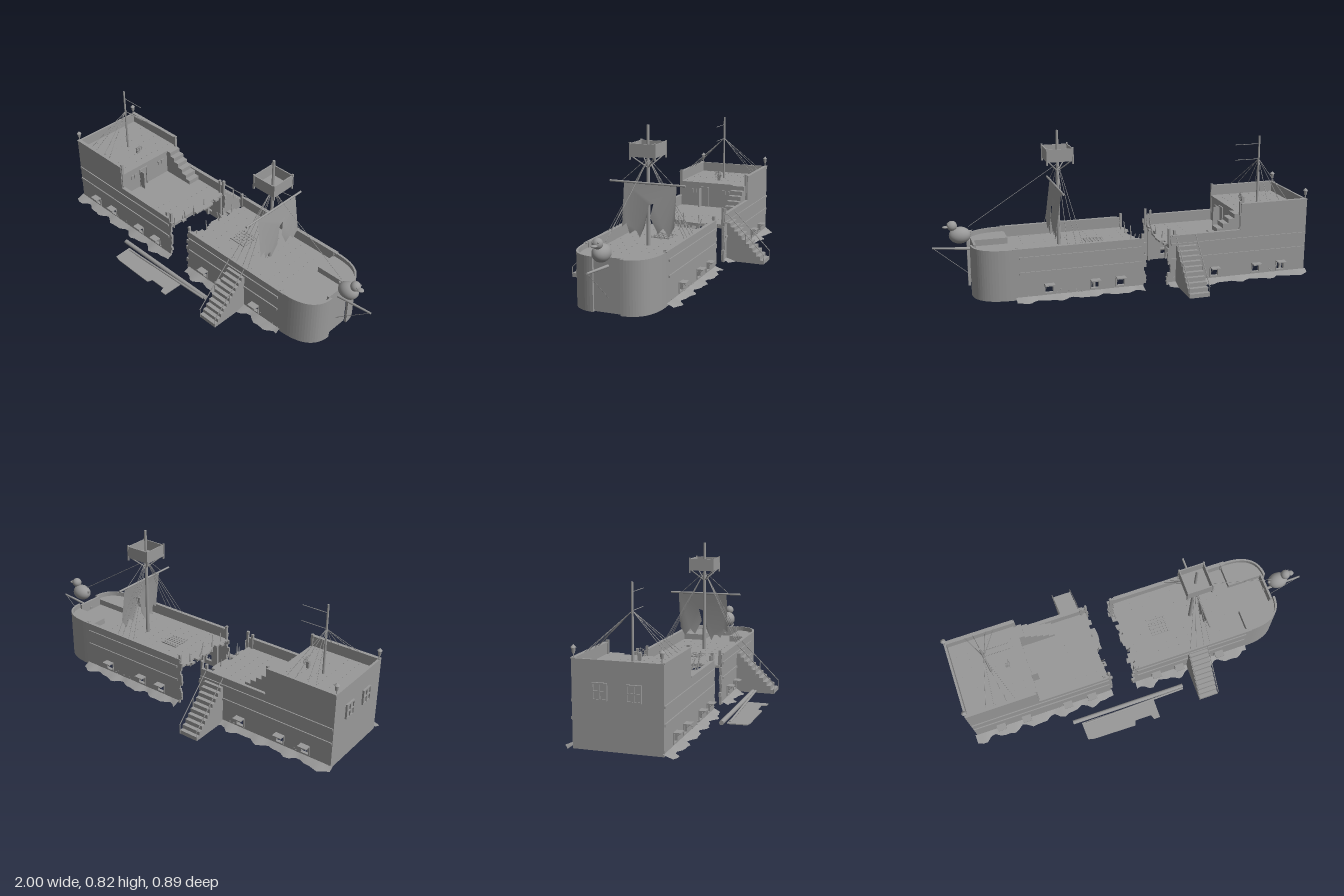
import * as THREE from 'three';

export function createModel() {
  const model = new THREE.Group();
  const ship = new THREE.Group();
  ship.name = 'wreckedShip';
  ship.position.z = -0.01;
  model.add(ship);
  const grey = new THREE.MeshStandardMaterial({ color: 0x999999, side: THREE.DoubleSide });
  grey.name = 'weatheredGrey';

  let seed = 7;
  const rnd = () => (seed = (seed * 16807) % 2147483647) / 2147483647;
  const V = (x, y, z) => new THREE.Vector3(x, y, z);
  const add = (name, geo, x = 0, y = 0, z = 0, parent = ship) => {
    const m = new THREE.Mesh(geo, grey);
    m.name = name;
    m.position.set(x, y, z);
    parent.add(m);
    return m;
  };
  // box given by its min and max on each axis
  const box = (name, x0, x1, y0, y1, z0, z1, parent = ship) =>
    add(name, new THREE.BoxGeometry(x1 - x0, y1 - y0, z1 - z0), (x0 + x1) / 2, (y0 + y1) / 2, (z0 + z1) / 2, parent);
  const rod = (name, a, b, r = 0.0015, r2 = r, parent = ship) => {
    const m = add(name, new THREE.CylinderGeometry(r2, r, a.distanceTo(b), r > 0.004 ? 12 : 5), 0, 0, 0, parent);
    m.position.copy(a).lerp(b, 0.5);
    m.quaternion.setFromUnitVectors(V(0, 1, 0), b.clone().sub(a).normalize());
    return m;
  };
  const shapeOf = pts => new THREE.Shape(pts.map(p => new THREE.Vector2(p[0], p[1])));
  const extrude = (shape, depth) => new THREE.ExtrudeGeometry(shape, { depth, bevelEnabled: false });
  // plan outline (x, z) made into a slab whose top is at y
  const slab = (name, pts, y, depth, parent = ship) =>
    add(name, extrude(shapeOf(pts), depth).rotateX(Math.PI / 2), 0, y, 0, parent);
  // broken plank ends: steps along v, with x varying
  const ragged = (x, v0, v1, n, amp) => {
    const pts = [];
    for (let i = 0; i < n; i++) {
      const e = x + (rnd() - 0.5) * amp;
      pts.push([e, v0 + (v1 - v0) * i / n], [e + (rnd() - 0.5) * 0.006, v0 + (v1 - v0) * (i + 1) / n]);
    }
    return pts;
  };
  const W = 0.215, T = 0.012, DECK = 0.215, RAIL = 0.272, POOP = 0.36, HIGH = 0.415;
  const ports = { aft: [-0.845, -0.7, -0.46, -0.32], fore: [0.064, 0.2, 0.44] };

  // bow outline, inset by d
  const bowCurve = d => new THREE.CubicBezierCurve(
    new THREE.Vector2(0.62, W - d), new THREE.Vector2(0.74, W - d),
    new THREE.Vector2(0.815 - d, 0.17 - d * 0.5), new THREE.Vector2(0.815 - d, 0.07)
  ).getPoints(18).map(p => [p.x, p.y]);
  const flip = pts => pts.map(([x, z]) => [x, -z]);

  for (const s of [1, -1]) {
    // side walls with gun ports and broken ends
    const aft = [[-0.99, 0.005], ...ragged(-0.2, 0.005, RAIL, 12, 0.022), [-0.605, RAIL], [-0.605, HIGH], [-0.99, HIGH]];
    const fore = [[0.62, 0.005], [0.62, RAIL], ...ragged(-0.07, RAIL, 0.005, 12, 0.022)];
    for (const [key, pts] of [['aft', aft], ['fore', fore]]) {
      const shape = shapeOf(pts);
      for (const x of ports[key]) {
        const h = 0.02;
        shape.holes.push(new THREE.Path([[-h, -h], [-h, h], [h, h], [h, -h]].map(c => new THREE.Vector2(x + c[0], 0.052 + c[1]))));
        // raised port lid, prop and frame
        const lid = box('portLid', x - 0.025, x + 0.025, -0.003, 0.003, -0.018, 0.018);
        lid.position.set(x, 0.078, s * (W + 0.018));
        rod('portLidProp', V(x + 0.018, 0.05, s * W), V(x + 0.018, 0.076, s * (W + 0.032)));
        for (const e of [-1, 1]) {
          add('portFrame', new THREE.BoxGeometry(0.006, 0.052, 0.006), x + e * 0.023, 0.052, s * (W + 0.002));
          add('portFrame', new THREE.BoxGeometry(0.052, 0.006, 0.006), x, 0.052 + e * 0.023, s * (W + 0.002));
        }
      }
      add(key + 'SideWall', extrude(shape, T), 0, 0, s > 0 ? W - T : -W);
    }
    // rubbing strakes and cap rails
    for (const y of [0.145, 0.225]) {
      add('strake', new THREE.BoxGeometry(0.775, 0.012, 0.008), -0.6, y, s * (W + 0.002));
      add('strake', new THREE.BoxGeometry(0.64, 0.012, 0.008), 0.27, y, s * (W + 0.002));
    }
    add('capRail', new THREE.BoxGeometry(0.385, 0.006, 0.02), -0.797, HIGH, s * (W - 0.006));
    add('capRail', new THREE.BoxGeometry(0.38, 0.006, 0.02), -0.41, RAIL, s * (W - 0.006));
    add('capRail', new THREE.BoxGeometry(0.66, 0.006, 0.02), 0.29, RAIL, s * (W - 0.006));
    for (const [x, y] of [[-0.605, HIGH + 0.012], [-0.235, 0.3], [-0.205, 0.31], [-0.06, 0.295], [0.6, RAIL + 0.006]])
      box('railPost', x - 0.006, x + 0.006, DECK, y, s * (W - 0.012) - 0.007, s * (W - 0.012) + 0.007);
    // inner ribs
    for (let i = 0; i < 15; i++) {
      const x = i < 8 ? -0.96 + i * 0.105 : 0.0 + (i - 8) * 0.1;
      add('rib', new THREE.BoxGeometry(0.012, 0.2, 0.012), x, 0.105, s * (W - T - 0.006));
    }
    // curved bow half and raised side platform
    const half = [...bowCurve(0), ...bowCurve(T).reverse()];
    slab('bowWall', s > 0 ? half : flip(half), RAIL, RAIL - 0.005);
    const bench = [[0.6, 0.08], [0.6, W - T], ...bowCurve(T), [0.79, 0.08]];
    slab('bowPlatform', s > 0 ? bench : flip(bench), 0.248, 0.033);
    // sloping sand drift against the hull
    for (const [x0, x1] of [[-1, -0.2], [-0.06, 0.61]]) {
      const g = new THREE.PlaneGeometry(x1 - x0, 1, 30, 1), p = g.attributes.position;
      for (let i = 0; i < p.count; i++) {
        const inner = p.getY(i) > 0, x = p.getX(i) + (x0 + x1) / 2;
        const out = 0.042 + 0.013 * Math.sin(x * 38 + s) + 0.008 * Math.sin(x * 71);
        p.setXYZ(i, x, inner ? 0.02 : 0.003, s * (W + (inner ? -0.002 : out)));
      }
      g.computeVertexNormals();
      add('sandDrift', g);
    }
    // barnacles near the waterline
    for (let i = 0; i < 24; i++) {
      const x = i < 12 ? -0.97 + rnd() * 0.75 : 0.0 + rnd() * 0.6;
      add('barnacle', new THREE.IcosahedronGeometry(0.004), x, 0.015 + rnd() * 0.03, s * W);
    }
    // stern lantern
    const lantern = new THREE.Group();
    lantern.name = 'sternLantern';
    lantern.position.set(-0.983, HIGH, s * 0.205);
    ship.add(lantern);
    rod('lanternStem', V(0, 0, 0), V(0, 0.022, 0), 0.003, 0.003, lantern);
    add('lanternGlass', new THREE.CylinderGeometry(0.011, 0.007, 0.026, 8), 0, 0.034, 0, lantern);
    add('lanternCap', new THREE.ConeGeometry(0.014, 0.014, 8), 0, 0.054, 0, lantern);
  }

  // stern wall, bow panel, poop bulkhead and decks
  box('sternWall', -0.99, -0.978, 0.005, HIGH, -W, W);
  box('bowPanel', 0.785, 0.797, 0.005, RAIL, -0.075, 0.075);
  box('poopBulkhead', -0.613, -0.603, DECK, POOP, -W + T, W - T);
  box('poopDeck', -0.98, -0.6, POOP - 0.012, POOP, -W + T, W - T);
  slab('mainDeck', [[-0.98, -0.204], ...ragged(-0.2, -0.204, 0.204, 16, 0.035), [-0.98, 0.204]], DECK, 0.01);
  slab('foreDeck', [...ragged(-0.065, -0.204, 0.204, 16, 0.035), ...bowCurve(T), [0.79, 0.07],
    [0.79, -0.07], ...flip(bowCurve(T)).reverse()], DECK, 0.01);
  for (let i = 0; i < 15; i++) {
    const x = i < 8 ? -0.96 + i * 0.105 : (i - 8) * 0.1;
    box('deckBeam', x - 0.007, x + 0.007, 0.19, 0.206, -W + T, W - T);
  }
  // nail heads on the planking
  const nails = (x0, x1, y) => {
    for (let x = x0; x < x1; x += 0.06)
      for (let z = -0.18; z < 0.19; z += 0.04) box('nail', x, x + 0.005, y, y + 0.0015, z, z + 0.005);
  };
  nails(-0.95, -0.62, POOP);
  nails(-0.38, -0.23, DECK);
  nails(-0.02, 0.58, DECK);

  // stern windows with frames and crossbars
  for (const z of [-0.08, 0.08]) {
    box('windowPane', -0.994, -0.99, 0.24, 0.31, z - 0.03, z + 0.03);
    for (const e of [-1, 0, 1]) {
      box('windowBar', -1, -0.99, 0.236, 0.314, z + e * 0.032 - 0.003, z + e * 0.032 + 0.003);
      box('windowBar', -1, -0.99, 0.272 + e * 0.037, 0.278 + e * 0.037, z - 0.035, z + 0.035);
    }
  }
  // cabin door standing open, and bulkhead window frames
  box('cabinDoor', -0.603, -0.565, DECK, 0.325, 0.075, 0.081);
  for (const z of [0.03, 0.078]) box('doorFrame', -0.603, -0.597, DECK, 0.33, z - 0.004, z + 0.004);
  box('doorFrame', -0.603, -0.597, 0.326, 0.334, 0.026, 0.082);
  for (const z of [0.125, -0.08]) for (const e of [-1, 1])
    box('bulkheadWindow', -0.603, -0.598, 0.295, 0.32, z + e * 0.012 - 0.01, z + e * 0.012 + 0.01);

  // inner stairs up to the poop
  for (let i = 0; i < 6; i++)
    box('poopStep', -0.603 + i * 0.032, -0.571 + i * 0.032, DECK, POOP - i * 0.024, -0.203, -0.13);

  // boarding stairs with sloping handrails
  for (const [s, x] of [[1, 0.305], [-1, -0.295]]) {
    const n = 10, stairs = new THREE.Group();
    stairs.name = 'boardingStairs';
    ship.add(stairs);
    for (let i = 0; i < n; i++) {
      const z = s * (W + (i + 0.5) * 0.0215);
      add('step', new THREE.BoxGeometry(0.108, 0.216 - i * 0.0216, 0.0215), x, (0.216 - i * 0.0216) / 2 + 0.002, z, stairs);
    }
    for (const e of [-0.054, 0.054]) {
      rod('handrail', V(x + e, 0.272, s * W), V(x + e, 0.055, s * 0.432), 0.0025, 0.0025, stairs);
      for (const [z, y, h] of [[0.43, 0.003, 0.055], [0.324, 0.1, 0.06]])
        rod('handrailPost', V(x + e, y, s * z), V(x + e, y + h, s * z), 0.002, 0.002, stairs);
    }
  }

  // main mast, crow's nest and struts
  const MX = 0.34;
  rod('mainMast', V(MX, 0.01, 0), V(MX, 0.825, 0), 0.012, 0.007);
  box('nestFloor', MX - 0.068, MX + 0.068, 0.672, 0.68, -0.068, 0.068);
  for (const s of [-1, 1]) {
    box('nestWall', MX - 0.068, MX + 0.068, 0.675, 0.738, s * 0.066 - 0.003, s * 0.066 + 0.003);
    box('nestWall', MX + s * 0.066 - 0.003, MX + s * 0.066 + 0.003, 0.675, 0.738, -0.068, 0.068);
    for (const t of [-1, 1]) {
      box('nestPost', MX + s * 0.067 - 0.004, MX + s * 0.067 + 0.004, 0.657, 0.744, t * 0.067 - 0.004, t * 0.067 + 0.004);
      rod('nestStrut', V(MX, 0.61, 0), V(MX + s * 0.06, 0.673, t * 0.06), 0.0035);
    }
    // shrouds of both masts
    for (const dx of [-0.08, -0.045, 0, 0.035]) rod('mainShroud', V(MX, 0.66, 0), V(MX + dx, RAIL, s * 0.21));
    for (const dx of [-0.08, -0.035, 0.035, 0.08]) rod('aftShroud', V(-0.795, 0.605, 0), V(-0.795 + dx, HIGH, s * 0.205));
    rod('yardLift', V(MX, 0.66, 0), V(MX + 0.015, 0.537, s * 0.14));
  }
  rod('mainYard', V(MX + 0.015, 0.535, 0.205), V(MX + 0.015, 0.535, -0.205), 0.0055);

  // torn, billowing sail with a ragged foot
  const sail = shapeOf([[-0.16, 0.53], [0.125, 0.53], [0.125, 0.31], [0.1, 0.33], [0.085, 0.275], [0.05, 0.3], [0.03, 0.26],
    [0.0, 0.32], [-0.02, 0.43], [-0.045, 0.44], [-0.03, 0.37], [-0.07, 0.29], [-0.1, 0.32], [-0.13, 0.28], [-0.16, 0.33]]);
  const sailGeo = new THREE.ShapeGeometry(sail), sp = sailGeo.attributes.position;
  for (let i = 0; i < sp.count; i++) {
    const z = sp.getX(i), y = sp.getY(i);
    sp.setXYZ(i, MX + 0.018 + 0.03 * Math.sin((0.53 - y) / 0.27 * Math.PI * 0.75), y, z);
  }
  sailGeo.computeVertexNormals();
  add('tornSail', sailGeo);

  // aft mast with two thin spars
  rod('aftMast', V(-0.795, 0.22, 0), V(-0.795, 0.735, 0), 0.007, 0.005);
  for (const y of [0.605, 0.69]) rod('aftSpar', V(-0.8, y, 0), V(-0.655, y, 0), 0.0018);

  // ship's wheel
  box('wheelStand', -0.715, -0.7, POOP, POOP + 0.035, -0.008, 0.008);
  add('wheelRim', new THREE.TorusGeometry(0.018, 0.002, 6, 20).rotateY(Math.PI / 2), -0.693, POOP + 0.035, 0);
  rod('wheelAxle', V(-0.715, POOP + 0.035, 0), V(-0.685, POOP + 0.035, 0), 0.003);
  for (let i = 0; i < 4; i++) {
    const a = i * Math.PI / 4, c = Math.cos(a) * 0.025, d = Math.sin(a) * 0.025;
    rod('wheelSpoke', V(-0.693, POOP + 0.035 + c, d), V(-0.693, POOP + 0.035 - c, -d), 0.0013);
  }

  // bowsprit, stays and bird figurehead
  rod('bowsprit', V(0.78, 0.228, 0), V(0.998, 0.25, 0), 0.008, 0.005);
  rod('bobstay', V(0.99, 0.245, 0), V(0.797, 0.08, 0));
  rod('forestay', V(MX, 0.65, 0), V(0.81, 0.35, 0));
  add('birdBody', new THREE.SphereGeometry(0.043, 24, 16).scale(1.3, 1, 1), 0.855, 0.308, 0);
  add('birdHead', new THREE.SphereGeometry(0.026, 20, 14), 0.893, 0.36, 0);
  add('birdBeak', new THREE.SphereGeometry(0.013, 14, 10).scale(1.3, 0.45, 1.2), 0.925, 0.355, 0);
  add('birdTail', new THREE.ConeGeometry(0.018, 0.035, 10).rotateZ(1.0), 0.805, 0.322, 0);
  for (const s of [-1, 1]) add('birdEye', new THREE.SphereGeometry(0.005, 8, 6), 0.912, 0.369, s * 0.014);

  // fallen spar and its sail lying on the ground
  rod('fallenSpar', V(-0.465, 0.024, 0.325), V(0.185, 0.024, 0.325), 0.012);
  rod('fallenSpar', V(-0.4, 0.012, 0.35), V(0.18, 0.03, 0.342), 0.006);
  slab('fallenSail', [[-0.42, 0.34], [0.005, 0.34], [0.005, 0.452], [-0.03, 0.452], [-0.04, 0.425], [-0.13, 0.425],
    [-0.14, 0.452], [-0.38, 0.448], [-0.415, 0.44]], 0.012, 0.005);

  // splintered planks at the break, and a broken deck grating
  for (let i = 0; i < 10; i++) {
    const x = i < 5 ? -0.215 : -0.055, z = (rnd() - 0.5) * 0.38;
    rod('splinter', V(x, DECK - 0.03, z), V(x + (rnd() - 0.5) * 0.04, DECK + 0.01 + rnd() * 0.06, z + (rnd() - 0.5) * 0.05), 0.005, 0.002);
  }
  for (let i = 0; i < 6; i++) {
    box('gratingBar', 0.1 + i * 0.018, 0.107 + i * 0.018, DECK, DECK + 0.006, -0.05, 0.05);
    box('gratingBar', 0.095, 0.2, DECK, DECK + 0.005, -0.05 + i * 0.0186, -0.043 + i * 0.0186);
  }
  return model;
}
